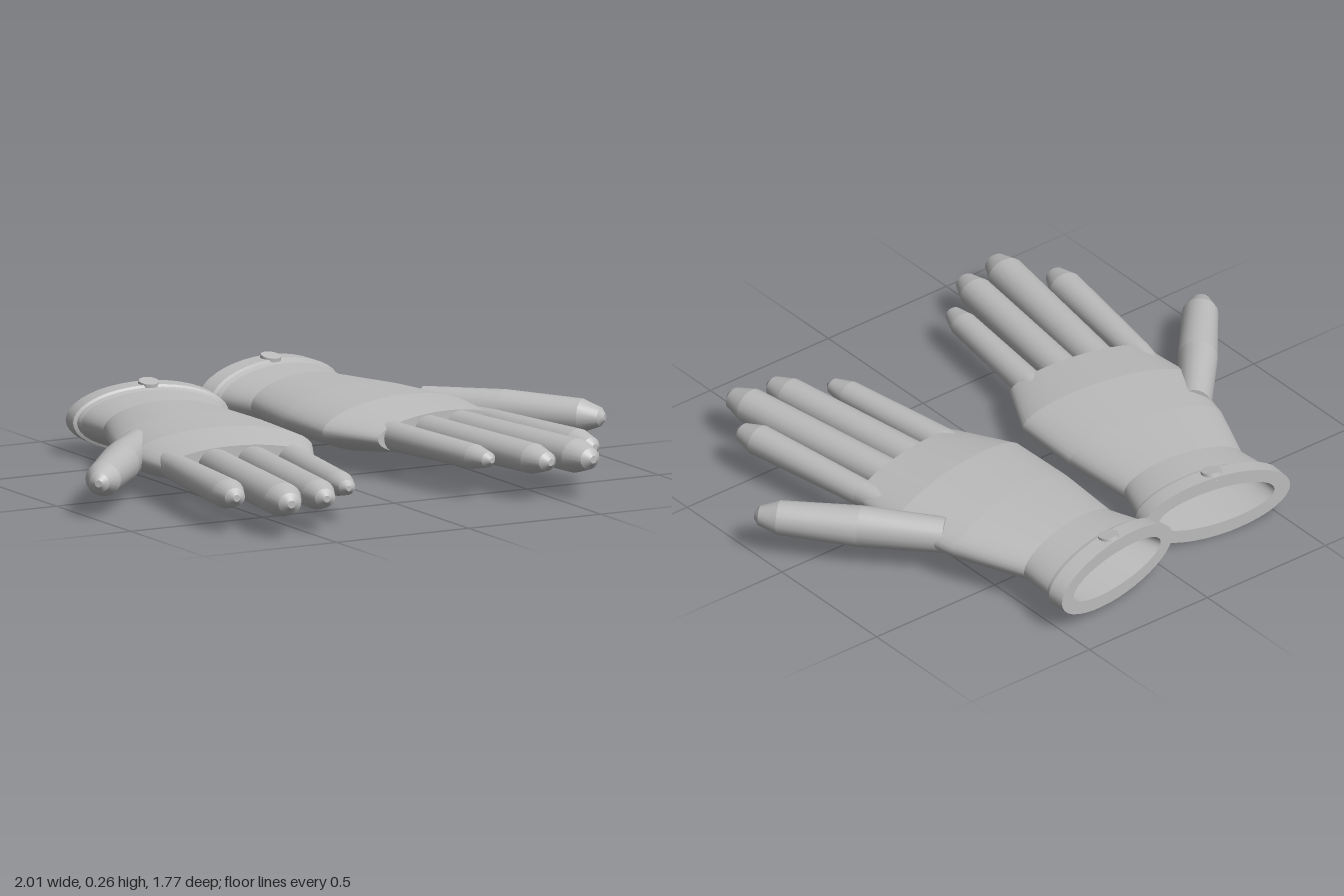
import * as THREE from 'three';
import { mergeGeometries } from 'three/addons/utils/BufferGeometryUtils.js';

const fabric = new THREE.MeshStandardMaterial({ color: 0xbcbcbc });
fabric.name = 'light grey fabric';

// Skin elliptical rings [z, centreX, radiusX, radiusY] along z, with a crease at every ring.
function loft(name, rings, sides, side) {
  const bands = [];
  for (let b = 0; b < rings.length - 1; b++) {
    const points = [], index = [];
    for (const [z, cx, rx, ry] of [rings[b], rings[b + 1]]) {
      for (let i = 0; i < sides; i++) {
        const a = (i / sides) * Math.PI * 2;
        points.push(cx * side + rx * Math.cos(a), ry * Math.sin(a), z);
      }
    }
    for (let i = 0; i < sides; i++) {
      const j = (i + 1) % sides;
      index.push(i, j, j + sides, i, j + sides, i + sides);
    }
    const band = new THREE.BufferGeometry();
    band.setAttribute('position', new THREE.Float32BufferAttribute(points, 3));
    band.setIndex(index);
    band.computeVertexNormals();
    bands.push(band);
  }
  const mesh = new THREE.Mesh(mergeGeometries(bands), fabric);
  mesh.name = name;
  return mesh;
}

// Hollow cuff opening, rim, wrist and palm in one skin
const BODY = [
  [0.75, 0, 0, 0],
  [0.7, 0, 0.2, 0.05],
  [0.22, 0, 0.19, 0.06],
  [0, 0, 0.218, 0.068],
  [0, 0, 0.277, 0.115],
  [0.062, 0, 0.273, 0.112],
  [0.066, 0, 0.26, 0.104],
  [0.085, 0, 0.252, 0.098],
  [0.217, -0.005, 0.225, 0.088],
  [0.47, -0.008, 0.288, 0.092],
  [0.72, -0.018, 0.318, 0.09],
  [0.93, -0.01, 0.26, 0.066],
  [0.93, -0.01, 0, 0],
];

// name, base x, shoulder x, shoulder z, base radius, shoulder radius
const FINGERS = [
  ['indexFinger', 0.212, 0.198, 1.4, 0.047, 0.057],
  ['middleFinger', 0.078, 0.062, 1.56, 0.06, 0.065],
  ['ringFinger', -0.056, -0.079, 1.51, 0.06, 0.058],
  ['littleFinger', -0.192, -0.208, 1.36, 0.052, 0.047],
];

function createGlove(name, side) {
  const glove = new THREE.Group();
  glove.name = name;
  glove.add(loft('cuffAndPalm', BODY, 40, side));

  // Fingers with blunt tapered tips
  for (const [label, x0, x1, z, r0, r1] of FINGERS) {
    const finger = loft(label, [
      [0.78, x0, r0 * 0.8, r0 * 0.8],
      [0.93, x0, r0, r0 * 0.95],
      [z, x1, r1, r1 * 0.88],
      [z + 0.07, x1, r1 * 0.62, r1 * 0.55],
      [z + 0.09, x1, r1 * 0.2, r1 * 0.2],
      [z + 0.09, x1, 0, 0],
    ], 18, side);
    finger.position.y = 0.003;
    glove.add(finger);
  }

  // Splayed thumb
  const thumb = loft('thumb', [
    [-0.035, 0, 0, 0],
    [-0.035, 0, 0.055, 0.062],
    [0.25, 0, 0.067, 0.07],
    [0.525, 0, 0.06, 0.057],
    [0.59, 0, 0.034, 0.032],
    [0.606, 0, 0.012, 0.012],
    [0.606, 0, 0, 0],
  ], 18, side);
  thumb.position.set(0.243 * side, 0.005, 0.589);
  thumb.rotation.y = side * 0.532;
  glove.add(thumb);

  // Button on the back of the cuff, its front edge sunk into the rim
  const button = new THREE.Mesh(new THREE.CylinderGeometry(0.034, 0.037, 0.026, 20), fabric);
  button.name = 'cuffButton';
  button.position.set(0, 0.108, 0.038);
  button.rotation.x = 0.2;
  glove.add(button);

  glove.rotation.y = side * THREE.MathUtils.degToRad(10);
  return glove;
}

export function createModel() {
  const model = new THREE.Group();
  model.name = 'pairOfGloves';
  const left = createGlove('leftGlove', 1);
  left.position.set(0.252, 0.133, -0.838);
  const right = createGlove('rightGlove', -1);
  right.position.set(-0.258, 0.115, -0.728);
  model.add(left, right);
  return model;
}
